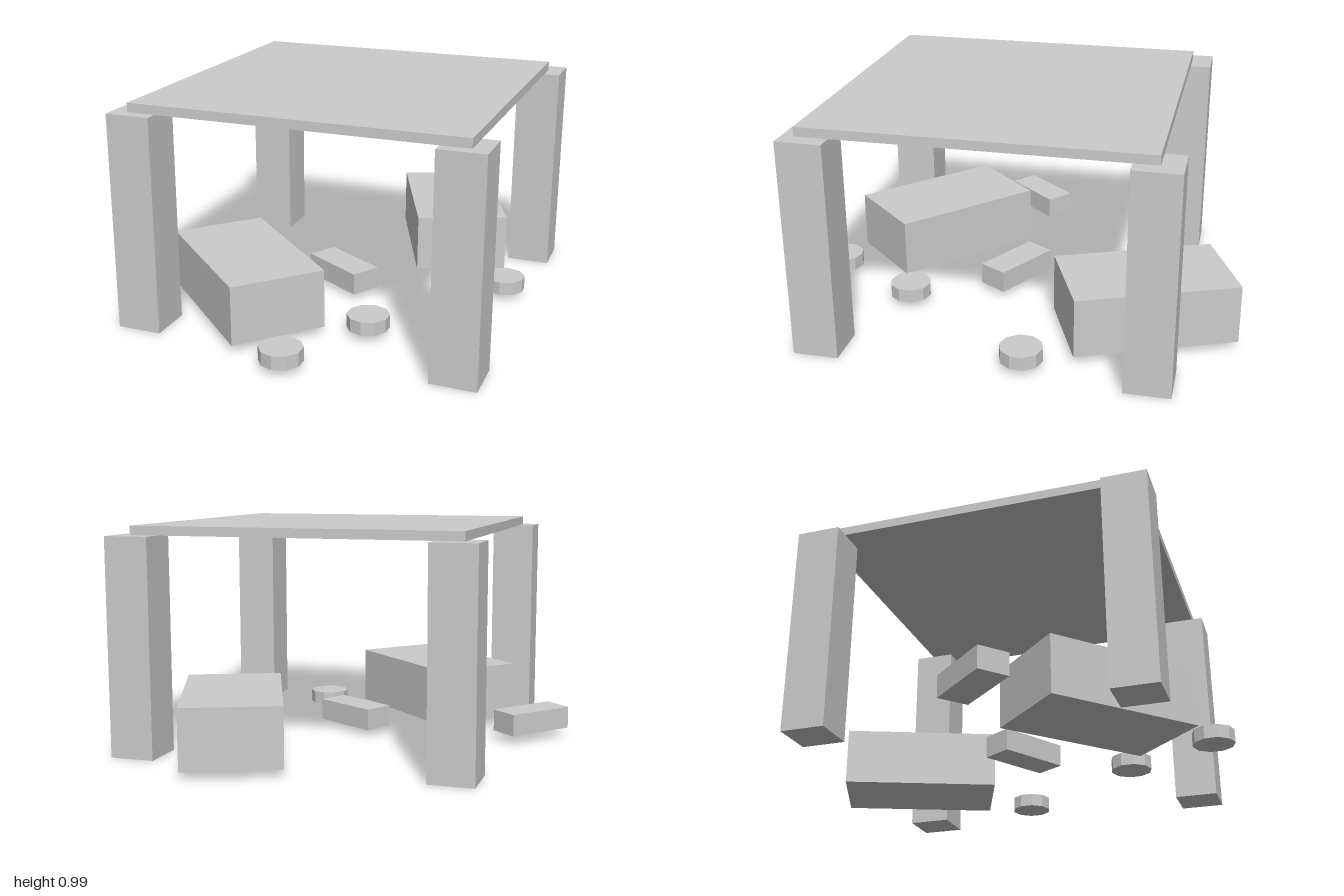
import * as THREE from 'three';

export function createModel() {
  const model = new THREE.Group();
  model.name = 'tableWithScatteredItems';
  const material = new THREE.MeshStandardMaterial({ color: 0xcccccc, flatShading: true });

  // Adds a mesh whose underside rests at height y.
  function add(name, geometry, height, x, y, z, turn = 0) {
    const mesh = new THREE.Mesh(geometry, material);
    mesh.name = name;
    mesh.position.set(x, y + height / 2, z);
    mesh.rotation.y = turn;
    model.add(mesh);
  }

  // Table top, slightly inset from the outer faces of the legs
  add('tableTop', new THREE.BoxGeometry(1.445, 0.04, 1.445), 0.04, 0.122, 0.95, 0.052);

  // Four square legs
  const leg = new THREE.BoxGeometry(0.196, 0.95, 0.196);
  for (const [side, x] of [['Right', -0.573], ['Left', 0.817]]) {
    for (const [end, z] of [['back', -0.664], ['front', 0.728]]) {
      add(`${end}${side}Leg`, leg, 0.95, x, 0, z);
    }
  }

  // Two large seat blocks
  const seat = new THREE.BoxGeometry(0.42, 0.26, 0.713);
  add('backSeat', seat, 0.26, 0.42, 0.035, -0.59, 0.39);
  add('frontSeat', seat, 0.26, -0.222, 0.033, 0.48, 0.82);

  // Two small bricks
  const brick = new THREE.BoxGeometry(0.14, 0.098, 0.325);
  add('sideBrick', brick, 0.098, -0.757, 0.041, 0.113, -0.715);
  add('middleBrick', brick, 0.098, 0.074, 0.028, 0.058, 1.04);

  // Three ten-sided discs
  const disc = new THREE.CylinderGeometry(0.093, 0.093, 0.06, 10);
  [[0.13, 0.905], [0.352, 0.492], [0.797, -0.13]].forEach(([x, z], i) => {
    add(`disc${i + 1}`, disc, 0.06, x, 0.029, z);
  });

  return model;
}
